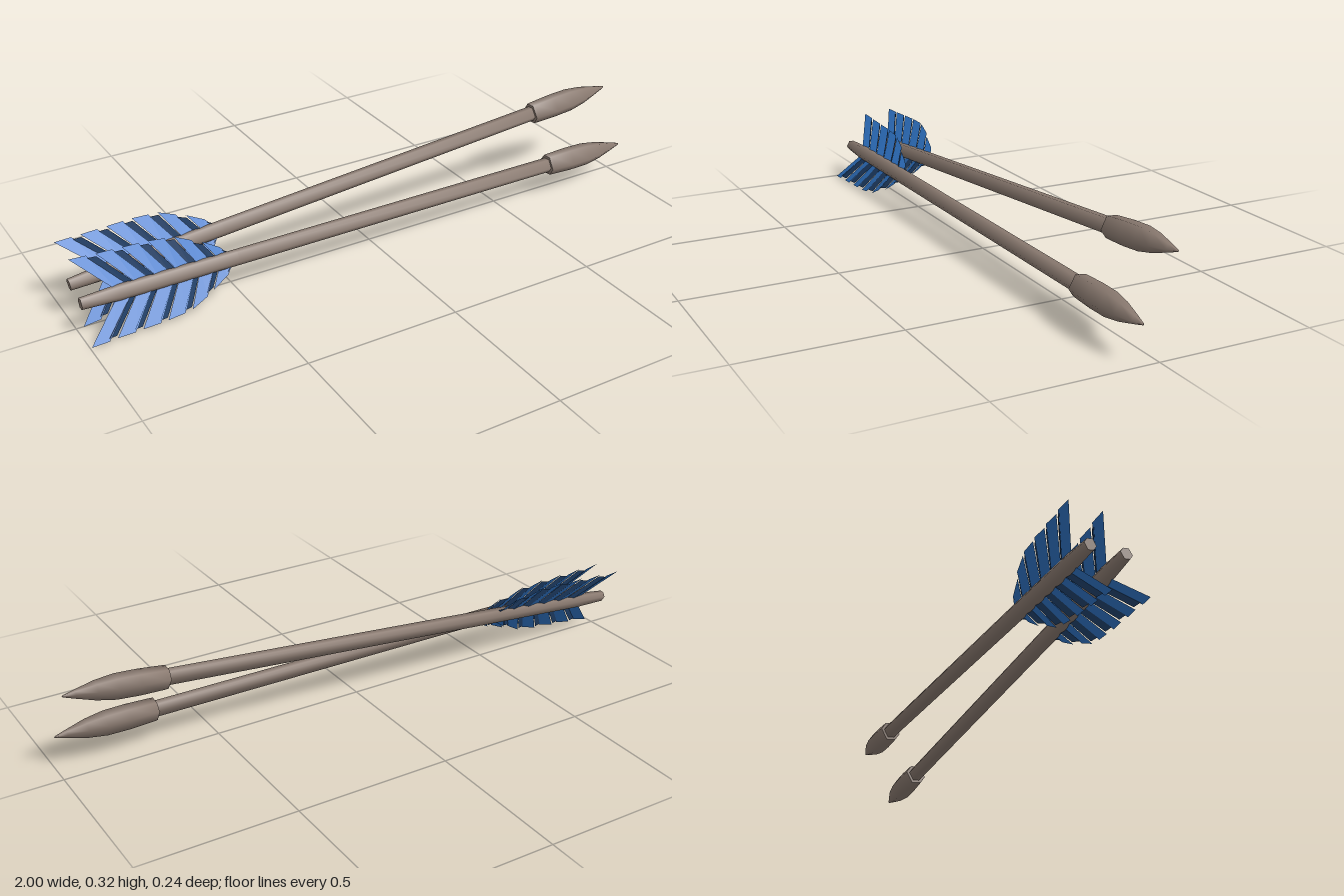
import * as THREE from 'three';

const wood = new THREE.MeshStandardMaterial({ name: 'greyBrownWood', color: 0x8a7a70 });
const blue = new THREE.MeshStandardMaterial({ name: 'featherBlue', color: 0x2f74c6, side: THREE.DoubleSide });
const navy = new THREE.MeshStandardMaterial({ name: 'featherNavy', color: 0x1f3f68, side: THREE.DoubleSide });

// Uneven six-sided section shared by shaft and head
const ANGLES = [-9, 68, 122, 171, 248, 302].map(THREE.MathUtils.degToRad);

// Skin through [x, radius] stations; a repeated station makes a sharp edge
function loft(stations) {
  const n = ANGLES.length, pos = [], index = [];
  stations.forEach(([x, r], s) => {
    ANGLES.forEach((a, k) => {
      pos.push(x, r * Math.sin(a), r * Math.cos(a));
      if (s === stations.length - 1) return;
      const k2 = (k + 1) % n, p = s * n + k, q = s * n + k2;
      index.push(p, p + n, q, q, p + n, q + n);
    });
  });
  const g = new THREE.BufferGeometry();
  g.setAttribute('position', new THREE.Float32BufferAttribute(pos, 3));
  g.setIndex(index);
  g.computeVertexNormals();
  return g;
}

function part(name, geometry, material) {
  const m = new THREE.Mesh(geometry, material);
  m.name = name;
  return m;
}

// Vane height along its length, front (t = 0) to back (t = 1)
const HEIGHTS = [0.028, 0.075, 0.112, 0.121, 0.124, 0.127, 0.131];
function vaneHeight(t) {
  const f = Math.min(t * 6, 5.999), i = Math.floor(f);
  return THREE.MathUtils.lerp(HEIGHTS[i], HEIGHTS[i + 1], f - i);
}

// Slats fanning backwards from the shaft; share = [start, end] within each barb
function slats(share, z0, z1, trim) {
  const pos = [], count = 6;
  const root = (t, z) => [-0.49 - 0.39 * t, 0.005, z];
  const tip = (t, z) => [-0.515 - 0.48 * t, vaneHeight(t) - trim, z];
  for (let i = 0; i < count; i++) {
    const a = (i + share[0]) / count, b = (i + share[1]) / count;
    pos.push(...root(b, z1), ...root(a, z0), ...tip(a, z0));
    pos.push(...root(b, z1), ...tip(a, z0), ...tip(b, z1));
  }
  const g = new THREE.BufferGeometry();
  g.setAttribute('position', new THREE.Float32BufferAttribute(pos, 3));
  g.computeVertexNormals();
  return g;
}

function makeArrow(name) {
  const arrow = new THREE.Group();
  arrow.name = name;
  // Shaft with a narrowed rear end
  arrow.add(part('shaft', loft([
    [-0.995, 0], [-0.995, 0.018], [-0.995, 0.018], [-0.88, 0.024], [-0.5, 0.025], [0.7, 0.025],
  ]), wood));
  // Head: stepped collar, slight bulge, pointed tip
  arrow.add(part('head', loft([
    [0.68, 0], [0.68, 0.035], [0.68, 0.035], [0.69, 0.036], [0.77, 0.039],
    [0.84, 0.038], [0.9, 0.029], [0.96, 0.013], [0.995, 0.003], [0.998, 0],
  ]), wood));
  // Two opposite pleated vanes
  for (const side of [0, 1]) {
    const vane = new THREE.Group();
    vane.name = side ? 'lowerVane' : 'upperVane';
    vane.rotation.x = -Math.PI / 6 + side * Math.PI;
    vane.add(part('barbs', slats([0.33, 1], -0.004, 0.004, 0), blue));
    vane.add(part('barbFolds', slats([0, 0.33], 0.004, -0.004, 0.008), navy));
    arrow.add(vane);
  }
  return arrow;
}

export function createModel() {
  const model = new THREE.Group();
  model.name = 'arrowPair';
  const front = makeArrow('levelArrow');
  front.position.set(0, 0.118, 0.053);
  const back = makeArrow('raisedArrow');
  back.position.set(0, 0.213, -0.048);
  back.rotation.z = THREE.MathUtils.degToRad(5);
  model.add(front, back);
  return model;
}
